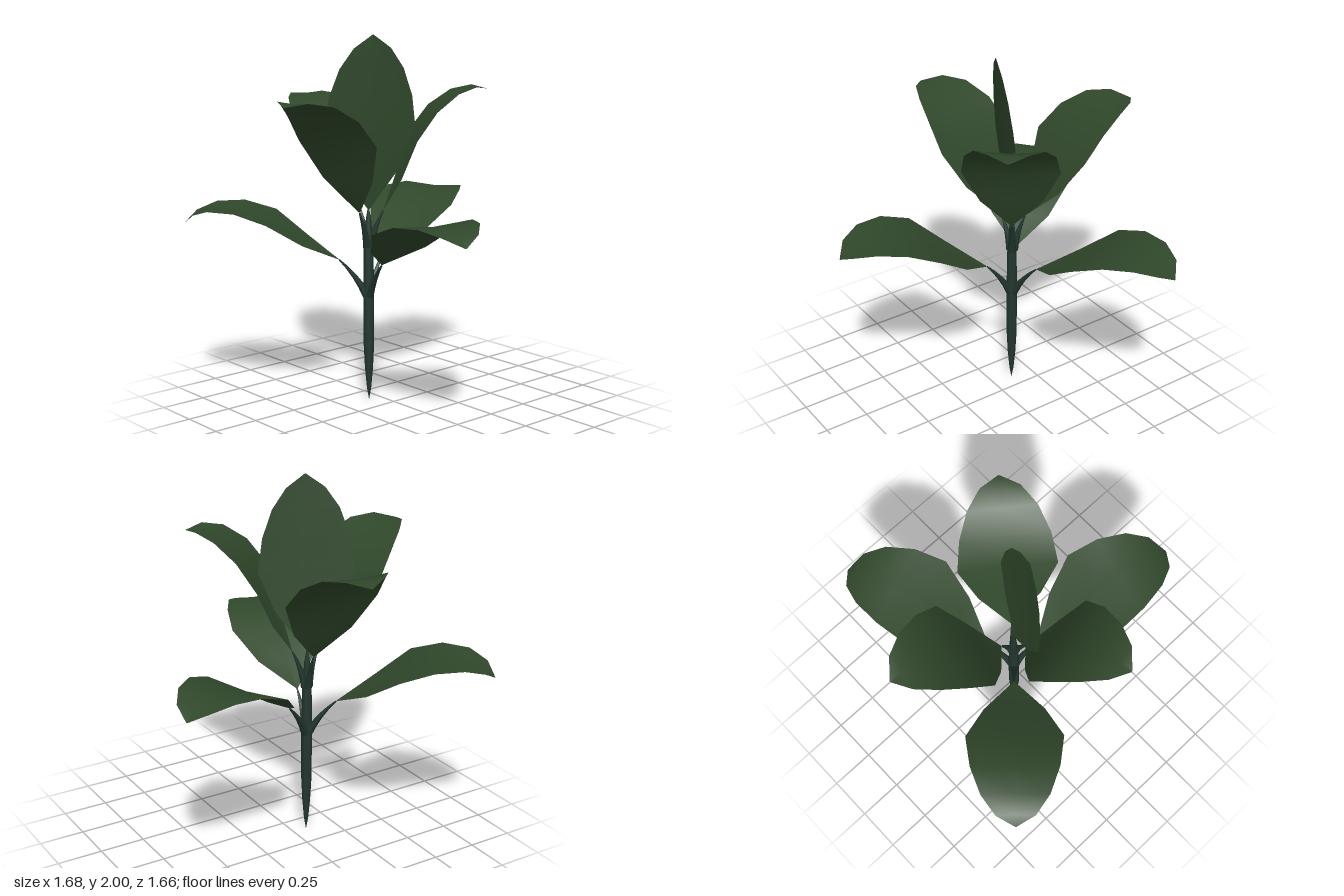
import * as THREE from 'three';

const rad = THREE.MathUtils.degToRad;
const leafMaterial = new THREE.MeshStandardMaterial({ color: 0x30482b, side: THREE.DoubleSide });
const stemMaterial = new THREE.MeshStandardMaterial({ color: 0x22382f });

// Leaf blade: segment lengths and natural slopes along the midrib, half width at each station
const LENGTHS = [0.211, 0.22, 0.18, 0.148, 0.107, 0.07];
const SLOPES = [33, 38, 21, 4, -17, -45];
const HALF_WIDTHS = [0.004, 0.163, 0.256, 0.231, 0.177, 0.102, 0.004];

// Blade starting at (r, y), growing outwards along +x, with the midrib slightly sunk
function leafGeometry(r, y, pitch, bend) {
  const positions = [], indices = [];
  HALF_WIDTHS.forEach((w, i) => {
    if (i > 0) {
      const a = rad(pitch + SLOPES[i - 1] * bend);
      r += Math.cos(a) * LENGTHS[i - 1];
      y += Math.sin(a) * LENGTHS[i - 1];
    }
    const a = rad(pitch + SLOPES[Math.min(i, 5)] * bend);
    const sink = w * 0.07;
    positions.push(r, y, -w);
    positions.push(r + Math.sin(a) * sink, y - Math.cos(a) * sink, 0);
    positions.push(r, y, w);
    if (i === 0) return;
    for (let k = 0; k < 2; k++) {
      const p = (i - 1) * 3 + k, q = i * 3 + k;
      indices.push(p, p + 1, q, p + 1, q + 1, q);
    }
  });
  const geometry = new THREE.BufferGeometry();
  geometry.setAttribute('position', new THREE.Float32BufferAttribute(positions, 3));
  geometry.setIndex(indices);
  geometry.computeVertexNormals();
  return geometry;
}

// Leaf stalk: a curved tube whose rings shrink towards the blade
function stalkGeometry(r, y, rise) {
  const curve = new THREE.QuadraticBezierCurve3(
    new THREE.Vector3(0.01, y - rise, 0),
    new THREE.Vector3(r * 0.4, y - rise * 0.45, 0),
    new THREE.Vector3(r, y, 0)
  );
  const rings = 4, sides = 6;
  const geometry = new THREE.TubeGeometry(curve, rings, 1, sides, false);
  const position = geometry.attributes.position;
  const v = new THREE.Vector3();
  for (let i = 0; i < position.count; i++) {
    const t = Math.floor(i / (sides + 1)) / rings;
    const centre = curve.getPointAt(t);
    v.fromBufferAttribute(position, i).sub(centre).multiplyScalar(0.025 - 0.021 * t).add(centre);
    position.setXYZ(i, v.x, v.y, v.z);
  }
  return geometry;
}

function mesh(name, geometry, material) {
  const m = new THREE.Mesh(geometry, material);
  m.name = name;
  return m;
}

export function createModel() {
  const model = new THREE.Group();
  model.name = 'plant';
  const plant = new THREE.Group();
  plant.name = 'stemAndLeaves';
  plant.position.set(-0.078, 0, -0.118);
  model.add(plant);

  // Stem, pointed at both ends
  const profile = [[0, 0], [0.012, 0.07], [0.022, 0.18], [0.029, 0.32], [0.03, 0.6], [0.026, 0.85], [0.016, 1.0], [0, 1.1]]
    .map(([r, y]) => new THREE.Vector2(r, y));
  plant.add(mesh('stem', new THREE.LatheGeometry(profile, 8), stemMaterial));

  // Leaves: name, compass angle, base radius, base height, stalk rise, pitch, bend
  const leaves = [
    ['lowerFrontLeaf', 102, 0.15, 0.79, 0.2, -0.5, 1],
    ['lowerLeftLeaf', -22, 0.16, 0.79, 0.2, -2, 1],
    ['lowerBackLeaf', -137.2, 0.16, 0.79, 0.2, -3, 1],
    ['upperLeftLeaf', 37, 0.08, 1.06, 0.2, 33, 1],
    ['upperRightLeaf', 167.5, 0.08, 1.06, 0.2, 28.7, 1],
    ['upperBackLeaf', -82, 0.08, 1.06, 0.2, 25, 1],
    ['topLeaf', 112, 0.005, 1.067, 0, 84, 0.06],
  ];
  for (const [name, angle, r, y, rise, pitch, bend] of leaves) {
    const leaf = new THREE.Group();
    leaf.name = name;
    leaf.rotation.y = -rad(angle);
    leaf.add(mesh('blade', leafGeometry(r, y, pitch, bend), leafMaterial));
    if (rise > 0) leaf.add(mesh('stalk', stalkGeometry(r, y, rise), stemMaterial));
    plant.add(leaf);
  }
  return model;
}
